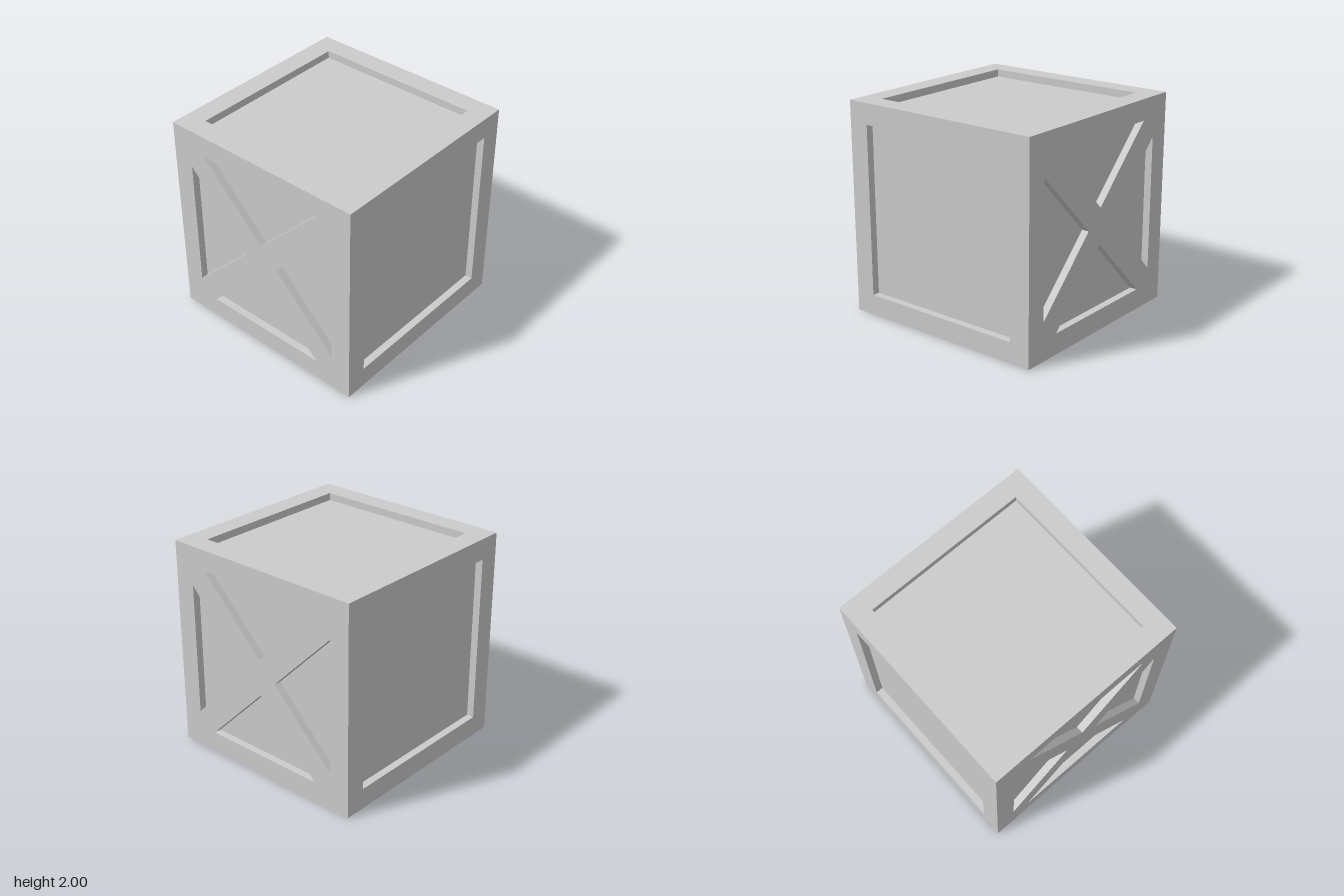
import * as THREE from 'three';

const BEAM = 0.197; // thickness of the frame timbers
const INNER = 1 - BEAM; // half the opening inside the frame
const RECESS = 0.07; // how far the panels sit back

export function createModel() {
  const crate = new THREE.Group();
  crate.name = 'crate';
  const material = new THREE.MeshStandardMaterial({ color: 0xcccccc, flatShading: true });

  const add = (name, geometry, x, y, z) => {
    const mesh = new THREE.Mesh(geometry, material);
    mesh.name = name;
    mesh.position.set(x, y, z);
    crate.add(mesh);
    return mesh;
  };

  // Inner box whose sides are the recessed panels
  const core = 2 * (1 - RECESS);
  add('panels', new THREE.BoxGeometry(core, core, core), 0, 1, 0);

  // Frame: four full-height posts with rails fitted between them
  const post = new THREE.BoxGeometry(BEAM, 2, BEAM);
  const railX = new THREE.BoxGeometry(2 * INNER, BEAM, BEAM);
  const railZ = new THREE.BoxGeometry(BEAM, BEAM, 2 * INNER);
  const c = 1 - BEAM / 2;
  for (const a of [-c, c]) {
    for (const b of [-c, c]) {
      add('cornerPost', post, a, 1, b);
      add('crossRail', railX, 0, 1 + a, b);
      add('sideRail', railZ, a, 1 + b, 0);
    }
  }

  // Diagonal cross, trimmed to the opening; its centre sits slightly low
  const w = 0.17;
  const mid = -0.01;
  const top = INNER - mid;
  const bottom = INNER + mid;
  const half = [
    [0, mid + w], [top - w, INNER], [INNER, INNER], [INNER, mid + INNER - w],
    [w, mid],
    [INNER, mid - INNER + w], [INNER, -INNER], [bottom - w, -INNER], [0, mid - w],
  ];
  const mirrored = half.slice(1, -1).reverse().map(([x, y]) => [-x, y]);
  const outline = [...half, ...mirrored].map(([x, y]) => new THREE.Vector2(x, y));
  const cross = new THREE.ExtrudeGeometry(new THREE.Shape(outline), { depth: RECESS, bevelEnabled: false });

  add('frontBrace', cross, 0, 1, 1 - RECESS);
  add('backBrace', cross, 0, 1, RECESS - 1).rotation.y = Math.PI;

  return crate;
}
